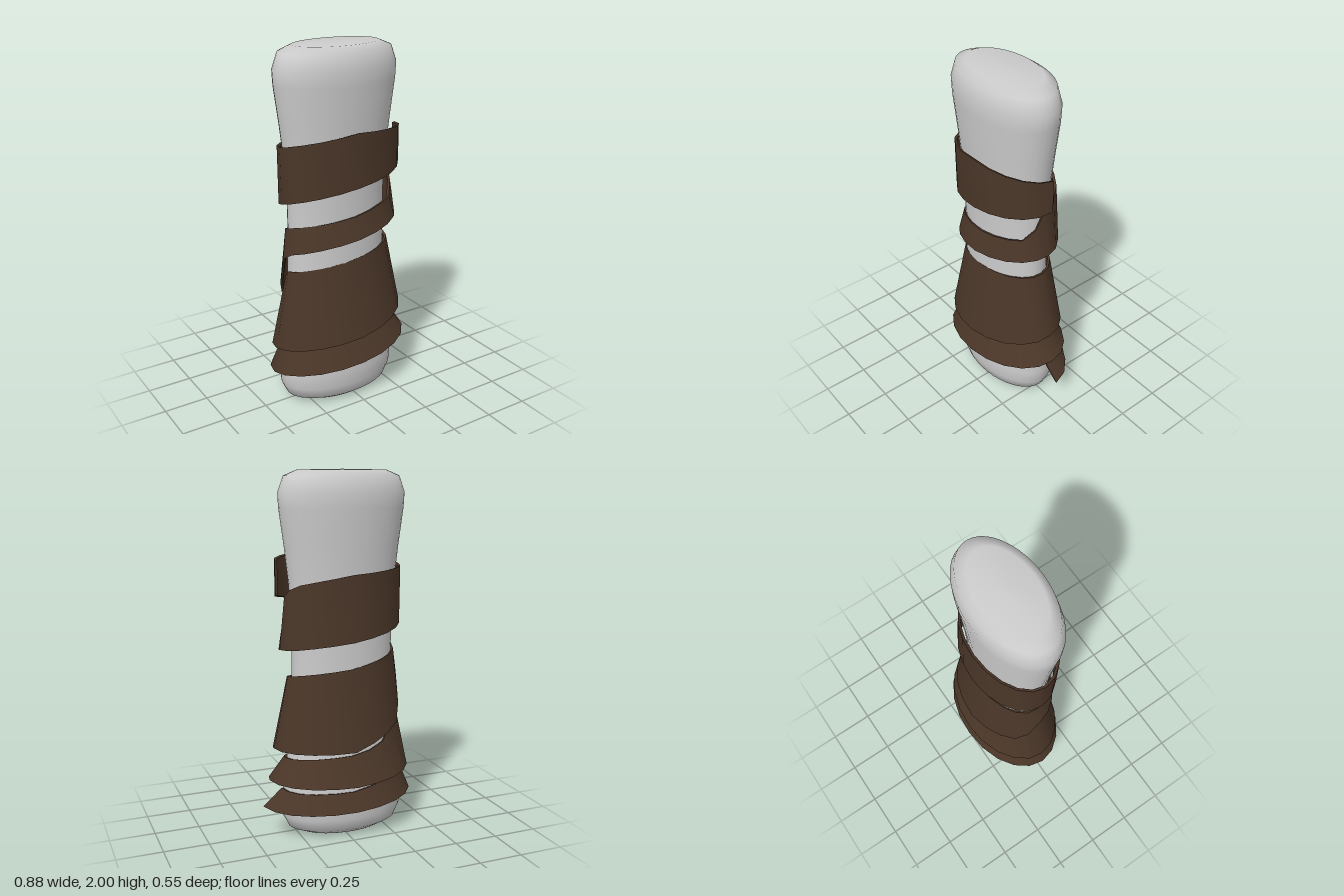
import * as THREE from 'three';
import { toCreasedNormals } from 'three/addons/utils/BufferGeometryUtils.js';

const SIDES = 20;        // segments per turn of the wrap
const THICKNESS = 0.014;

// Oval post, slightly waisted, with rounded ends
function makePost() {
  const profile = [
    [0, 0], [0.25, 0.004], [0.32, 0.035], [0.35, 0.1], [0.356, 0.18], [0.343, 0.32],
    [0.312, 0.5], [0.294, 0.75], [0.288, 1.0], [0.29, 1.2], [0.302, 1.4], [0.325, 1.6],
    [0.352, 1.8], [0.356, 1.88], [0.325, 1.965], [0.25, 1.996], [0, 2],
  ].map(([r, y]) => new THREE.Vector2(r, y));
  const geometry = new THREE.LatheGeometry(profile, 40);
  geometry.scale(1, 1, 0.577);
  geometry.translate(-0.03, 0, 0);
  return geometry;
}

// Wrap stations: [turns, top height, bottom height, top radius, bottom radius]
const stations = [
  [0, 1.53, 1.345, 0.37, 0.37], [0.25, 1.565, 1.27, 0.362, 0.365],
  [0.5, 1.49, 1.18, 0.35, 0.345], [0.75, 1.46, 1.1, 0.345, 0.355],
  [0.92, 1.40, 1.06, 0.33, 0.352], [1, 1.34, 1.05, 0.32, 0.35],
  [1.05, 1.22, 1.04, 0.325, 0.352], [1.1, 1.15, 1.03, 0.328, 0.36],
  [1.25, 1.1, 0.98, 0.325, 0.365], [1.45, 1.055, 0.91, 0.312, 0.345],
  [1.5, 1.04, 0.87, 0.312, 0.345], [1.55, 1.02, 0.7, 0.315, 0.35],
  [1.6, 1.0, 0.61, 0.317, 0.36], [1.75, 0.95, 0.5, 0.32, 0.385],
  [2, 0.9, 0.5, 0.307, 0.39], [2.25, 0.85, 0.41, 0.313, 0.402],
  [2.5, 0.79, 0.345, 0.317, 0.402], [2.55, 0.74, 0.335, 0.32, 0.405],
  [2.6, 0.6, 0.33, 0.325, 0.407], [2.66, 0.5, 0.32, 0.335, 0.41],
  [2.75, 0.47, 0.31, 0.34, 0.412], [3, 0.44, 0.32, 0.325, 0.418],
  [3.25, 0.4, 0.26, 0.345, 0.415], [3.5, 0.355, 0.2, 0.36, 0.42],
  [3.75, 0.27, 0.17, 0.365, 0.418], [3.9, 0.265, 0.165, 0.36, 0.43],
  [4, 0.265, 0.17, 0.35, 0.458],
];

function stationAt(t) {
  let i = 0;
  while (i < stations.length - 2 && t > stations[i + 1][0]) i++;
  const a = stations[i], b = stations[i + 1];
  const k = (t - a[0]) / (b[0] - a[0]);
  return a.map((v, j) => THREE.MathUtils.lerp(v, b[j], k));
}

// One continuous strip of varying width spiralling down, flaring at its lower edge
function makeWrap() {
  const positions = [], index = [];
  const count = SIDES * 4;
  for (let i = 0; i <= count; i++) {
    const t = i / SIDES;
    const angle = t * Math.PI * 2;
    const [, top, bottom, rTop, rBottom] = stationAt(t);
    const corners = [
      [rTop, top], [rBottom, bottom],
      [rBottom - THICKNESS, bottom + 0.004], [rTop - THICKNESS, top - 0.004],
    ];
    for (const [r, y] of corners) {
      positions.push(-0.018 + r * Math.cos(angle), y, (r - 0.143) * Math.sin(angle));
    }
  }
  for (let i = 0; i < count; i++) {
    for (let j = 0; j < 4; j++) {
      const a = i * 4 + j, b = i * 4 + (j + 1) % 4;
      index.push(a, a + 4, b, b, a + 4, b + 4);
    }
  }
  // end caps
  const e = count * 4;
  index.push(0, 1, 2, 0, 2, 3, e, e + 2, e + 1, e, e + 3, e + 2);
  const geometry = new THREE.BufferGeometry();
  geometry.setAttribute('position', new THREE.Float32BufferAttribute(positions, 3));
  geometry.setIndex(index);
  // the spiral runs clockwise from above, so turn the faces outward
  for (let i = 0; i < index.length; i += 3) {
    geometry.index.setX(i + 1, index[i + 2]);
    geometry.index.setX(i + 2, index[i + 1]);
  }
  return toCreasedNormals(geometry, 0.7);
}

export function createModel() {
  const group = new THREE.Group();
  const post = new THREE.Mesh(makePost(), new THREE.MeshStandardMaterial({ color: 0xcccccc }));
  post.name = 'post';
  const wrap = new THREE.Mesh(
    makeWrap(),
    new THREE.MeshStandardMaterial({ color: 0x4a3628, side: THREE.DoubleSide }),
  );
  wrap.name = 'spiralWrap';
  group.add(post, wrap);
  return group;
}
